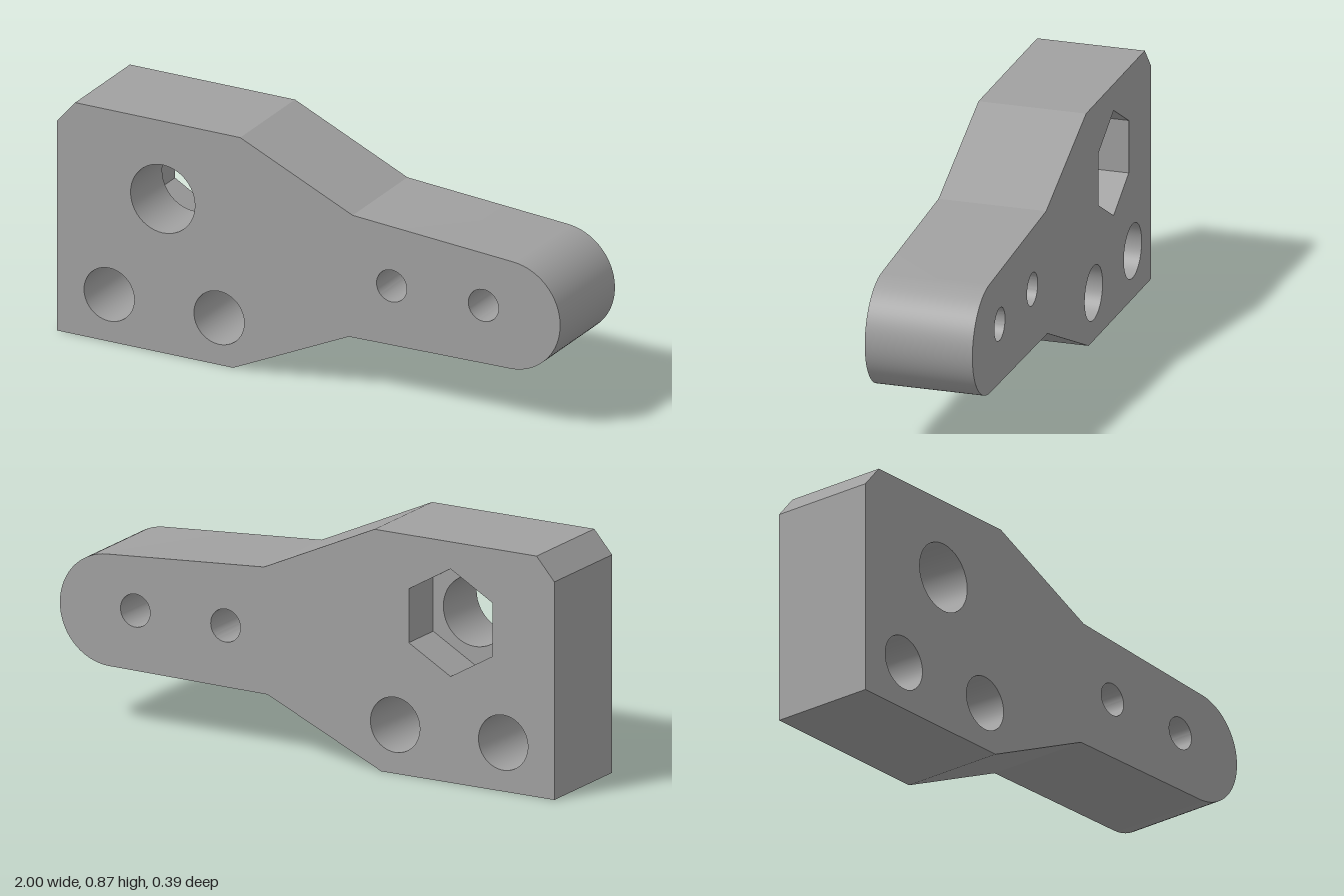
import * as THREE from 'three';
import { toCreasedNormals } from 'three/addons/utils/BufferGeometryUtils.js';

const FRONT = 0.197, BACK = -0.197, STEP = -0.03;
const v = (x, y) => new THREE.Vector2(x, y);

// Counter-clockwise points on an arc, angles in degrees
function arc(cx, cy, r, from, to, n) {
  return Array.from({ length: n + 1 }, (_, i) => {
    const a = THREE.MathUtils.degToRad(from + (to - from) * i / n);
    return v(cx + r * Math.cos(a), cy + r * Math.sin(a));
  });
}
const circle = (x, y, r) => arc(x, y, r, 0, 360, 48).slice(0, -1);

// Wall along a closed loop; faces away from a counter-clockwise loop
function wall(points, z0, z1) {
  const pos = [];
  points.forEach((p, i) => {
    const q = points[(i + 1) % points.length];
    pos.push(p.x, p.y, z0, q.x, q.y, z0, q.x, q.y, z1);
    pos.push(p.x, p.y, z0, q.x, q.y, z1, p.x, p.y, z1);
  });
  const g = new THREE.BufferGeometry();
  g.setAttribute('position', new THREE.Float32BufferAttribute(pos, 3));
  return toCreasedNormals(g, 0.2);
}

// Flat face with holes, facing front or back
function face(points, holes, z, facesBack) {
  const shape = new THREE.Shape(points);
  shape.holes = holes.map(h => new THREE.Path(h));
  const g = new THREE.ShapeGeometry(shape).translate(0, 0, z);
  if (facesBack) {
    g.index.array.reverse();
    g.computeVertexNormals();
  }
  return g;
}

export function createModel() {
  const group = new THREE.Group();
  const grey = new THREE.MeshStandardMaterial({ color: 0xa0a0a0 });
  grey.name = 'grey';
  const add = (name, geometry) => {
    const mesh = new THREE.Mesh(geometry, grey);
    mesh.name = name;
    group.add(mesh);
  };

  // Plate outline: wide block tapering to a round-ended arm
  const outline = [
    v(-1, 0), v(-0.3, 0), v(0.16, 0.21),
    ...arc(0.7975, 0.421, 0.2025, -88, 86, 40),
    v(0.175, 0.67), v(-0.272, 0.873), v(-0.928, 0.873), v(-1, 0.79),
  ];
  const throughHoles = [
    circle(-0.793, 0.177, 0.1), circle(-0.356, 0.177, 0.1),
    circle(0.33, 0.435, 0.06), circle(0.695, 0.435, 0.06),
  ];
  const boltHole = circle(-0.58, 0.58, 0.128);
  const hexagon = arc(-0.58, 0.58, 0.195, 90, 450, 6).slice(0, -1);

  add('outerEdge', wall(outline, BACK, FRONT));
  add('frontFace', face(outline, [...throughHoles, boltHole], FRONT, false));
  add('backFace', face(outline, [...throughHoles, hexagon], BACK, true));

  // Bores
  throughHoles.forEach((h, i) => add('throughHole' + (i + 1), wall([...h].reverse(), BACK, FRONT)));
  add('boltHole', wall([...boltHole].reverse(), STEP, FRONT));

  // Hexagonal nut pocket in the back
  add('nutPocketSides', wall([...hexagon].reverse(), BACK, STEP));
  add('nutPocketFloor', face(hexagon, [boltHole], STEP, true));

  return group;
}
